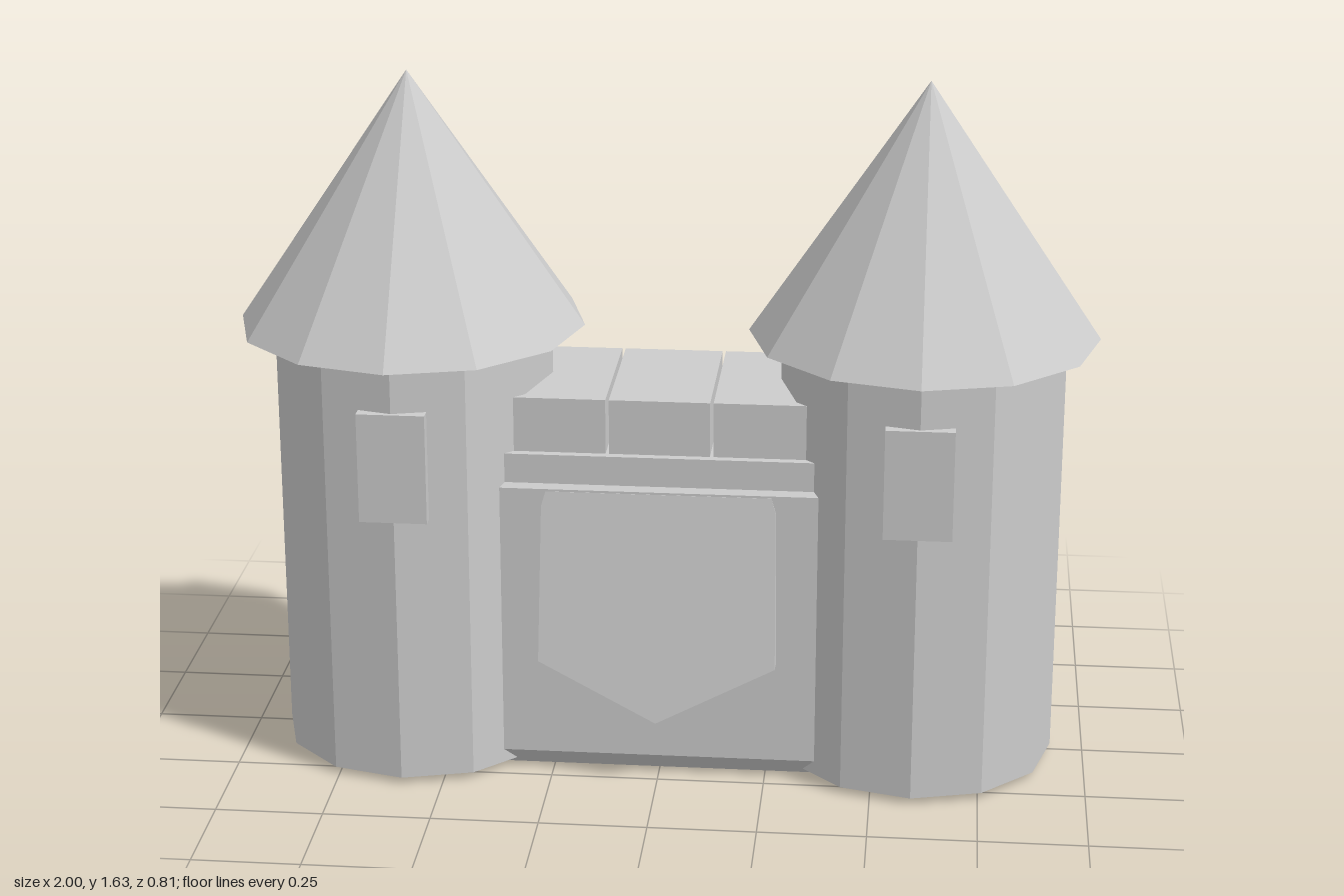
import * as THREE from 'three';

export function createModel() {
  const root = new THREE.Group();
  root.name = 'castleGate';
  const stone = new THREE.MeshStandardMaterial({ color: 0xcccccc, flatShading: true });
  stone.name = 'stone grey';

  const add = (name, geometry, x = 0, y = 0, z = 0, parent = root) => {
    const mesh = new THREE.Mesh(geometry, stone);
    mesh.name = name;
    mesh.position.set(x, y, z);
    parent.add(mesh);
    return mesh;
  };
  const shapeOf = (pts) => new THREE.Shape(pts.map(([x, y]) => new THREE.Vector2(x, y)));
  const extrude = (pts, depth) =>
    new THREE.ExtrudeGeometry(shapeOf(pts), { depth, bevelEnabled: false }).translate(0, 0, -depth / 2);

  // Twin twelve-sided towers with pointed roofs and a window plate each
  for (const [side, s] of [['left', 1], ['right', -1]]) {
    const tower = new THREE.Group();
    tower.name = side + 'Tower';
    tower.position.x = s * 0.595;
    root.add(tower);
    add('towerWall', new THREE.CylinderGeometry(0.328, 0.328, 1.025, 12), 0, 0.5275, 0, tower);
    add('towerRoof', new THREE.ConeGeometry(0.404, 0.597, 12), 0, 1.3365, 0, tower);
    add('window', new THREE.BoxGeometry(0.156, 0.26, 0.06), 0, 0.79, 0.307, tower);
  }

  // Gate wall: chamfered top, undercut foot, profile swept along x
  const half = [[0.18, 0], [0.22, 0.048], [0.22, 0.71], [0.207, 0.722]];
  const profile = [...half, ...half.map(([z, y]) => [-z, y]).reverse()];
  add('gateWall', extrude(profile, 0.82).rotateY(Math.PI / 2));

  // Ledge and three battlement blocks above the wall
  add('ledge', new THREE.BoxGeometry(0.78, 0.08, 0.418), 0, 0.75, 0);
  for (const i of [-1, 0, 1]) {
    add('battlement', new THREE.BoxGeometry(0.232, 0.14, 0.378), i * 0.24, 0.85, 0);
  }

  // Pointed gate plate, leaning out at the bottom
  const outline = [
    [0, -0.54], [0.275, -0.4], [0.27, -0.03], [0.26, 0.005],
    [-0.26, 0.005], [-0.27, -0.03], [-0.275, -0.4],
  ];
  const gate = add('gatePlate', extrude(outline, 0.08).translate(0, 0, -0.04), 0, 0.7, 0.222);
  gate.rotation.x = -0.138;

  return root;
}
